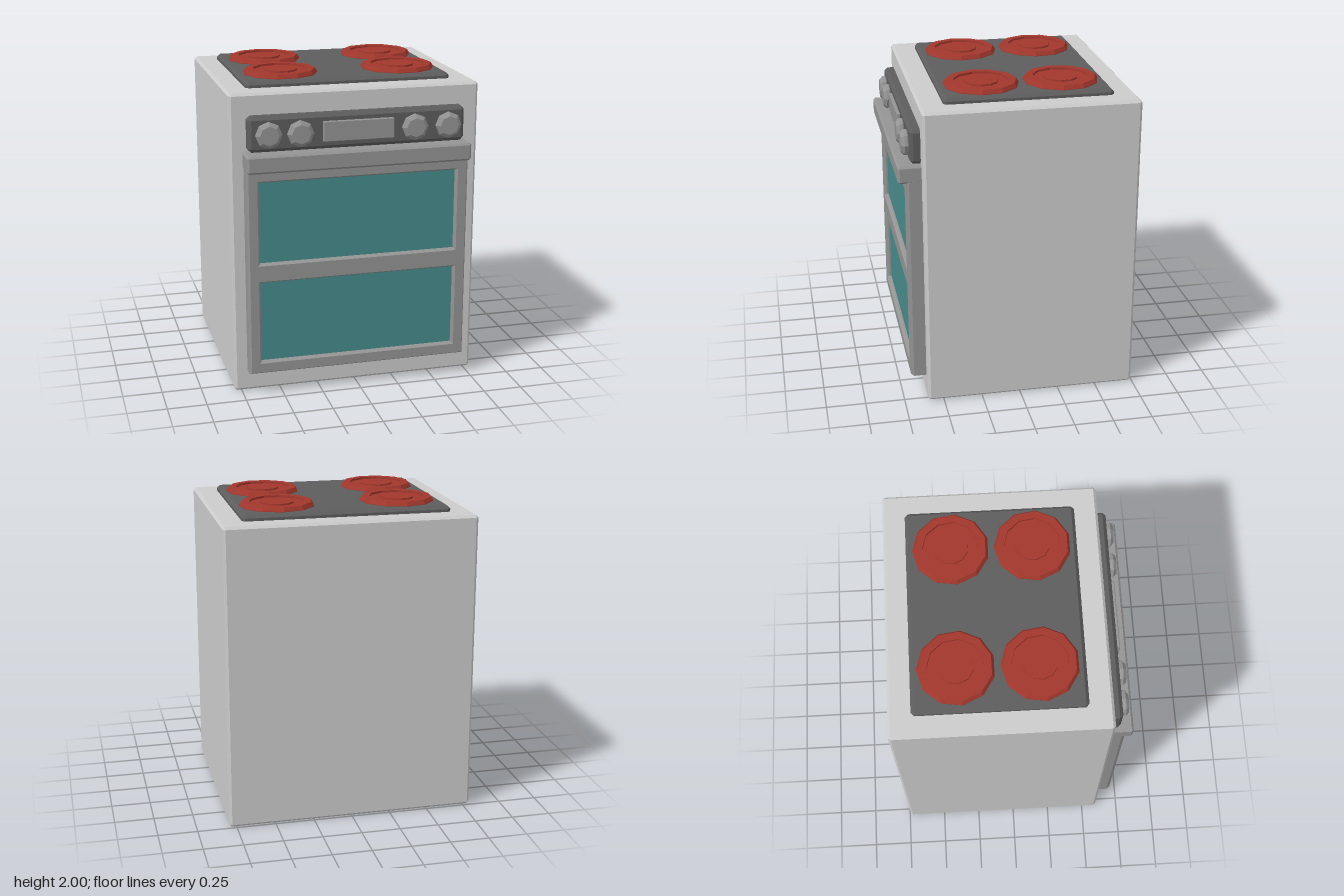
import * as THREE from 'three';
import { ConvexGeometry } from 'three/addons/geometries/ConvexGeometry.js';

const material = (color) =>
  new THREE.MeshStandardMaterial({ color, flatShading: true });

export function createModel() {
  const group = new THREE.Group();
  const casing = material(0xcccccc);
  const doorGrey = material(0x949494);
  const dark = material(0x5d5d5d);
  const glass = material(0x478b8b);
  const red = material(0xa2372c);

  const add = (name, geometry, mat) => {
    const mesh = new THREE.Mesh(geometry, mat);
    mesh.name = name;
    group.add(mesh);
    return mesh;
  };

  // Box given by its limits, with all edges chamfered by c
  const chamferBox = (x0, x1, y0, y1, z0, z1, c) => {
    const points = [];
    for (const sx of [0, 1]) for (const sy of [0, 1]) for (const sz of [0, 1]) {
      const x = sx ? x1 : x0, y = sy ? y1 : y0, z = sz ? z1 : z0;
      const ix = x + (sx ? -c : c), iy = y + (sy ? -c : c), iz = z + (sz ? -c : c);
      points.push(
        new THREE.Vector3(x, iy, iz),
        new THREE.Vector3(ix, y, iz),
        new THREE.Vector3(ix, iy, z));
    }
    return new ConvexGeometry(points);
  };

  const rectangle = (target, x0, x1, y0, y1) => {
    target.moveTo(x0, y0);
    target.lineTo(x1, y0);
    target.lineTo(x1, y1);
    target.lineTo(x0, y1);
    target.closePath();
    return target;
  };

  // Turned shape from [radius, height] pairs
  const turned = (profile, sides) =>
    new THREE.LatheGeometry(profile.map(([r, h]) => new THREE.Vector2(r, h)), sides);

  add('body', chamferBox(-0.795, 0.795, 0, 1.935, -0.745, 0.6, 0.016), casing);

  // Cooktop plate with a bevelled rim
  add('cooktop', chamferBox(-0.66, 0.655, 1.9, 1.972, -0.605, 0.452, 0.02), dark);

  // Burners: sloped outer rim, groove, raised centre
  const burner = turned([
    [0.238, 1.968], [0.238, 1.975], [0.222, 2], [0.175, 2], [0.174, 1.987],
    [0.108, 1.987], [0.107, 1.998], [0, 1.998],
  ], 11);
  burner.rotateY(Math.PI);
  for (const x of [-0.385, 0.39]) for (const z of [-0.327, 0.177]) {
    add('burner', burner, red).position.set(x, 0, z);
  }

  // Control panel with display and four knobs
  add('controlPanel', chamferBox(-0.692, 0.686, 1.578, 1.8, 0.57, 0.665, 0.022), dark);
  add('display', chamferBox(-0.227, 0.222, 1.627, 1.754, 0.64, 0.685, 0.004), doorGrey);

  const knob = turned([
    [0.066, -0.01], [0.083, 0.012], [0.083, 0.03], [0.06, 0.05], [0, 0.05],
  ], 8);
  knob.rotateX(Math.PI / 2);
  for (const x of [-0.567, -0.37, 0.357, 0.574]) {
    add('knob', knob, doorGrey).position.set(x, 1.688, 0.66);
  }

  // Door frame with two bevelled window openings
  const windows = [[0.215, 0.763], [0.865, 1.408]];
  const frame = rectangle(new THREE.Shape(), -0.7, 0.697, 0.155, 1.47);
  for (const [y0, y1] of windows) {
    frame.holes.push(rectangle(new THREE.Path(), -0.646, 0.64, y0, y1));
  }
  const door = new THREE.ExtrudeGeometry(frame, {
    depth: 0.1, bevelEnabled: true, bevelSegments: 1,
    bevelThickness: 0.02, bevelSize: 0.012,
  });
  door.translate(0, 0, 0.578);
  add('door', door, doorGrey);

  for (const [y0, y1] of windows) {
    const pane = add('window', new THREE.BoxGeometry(1.3, y1 - y0 + 0.02, 0.04), glass);
    pane.position.set(-0.003, (y0 + y1) / 2, 0.648);
  }

  // Handle ledge across the top of the door
  add('handle', chamferBox(-0.715, 0.71, 1.465, 1.577, 0.58, 0.745, 0.013), doorGrey);

  return group;
}
